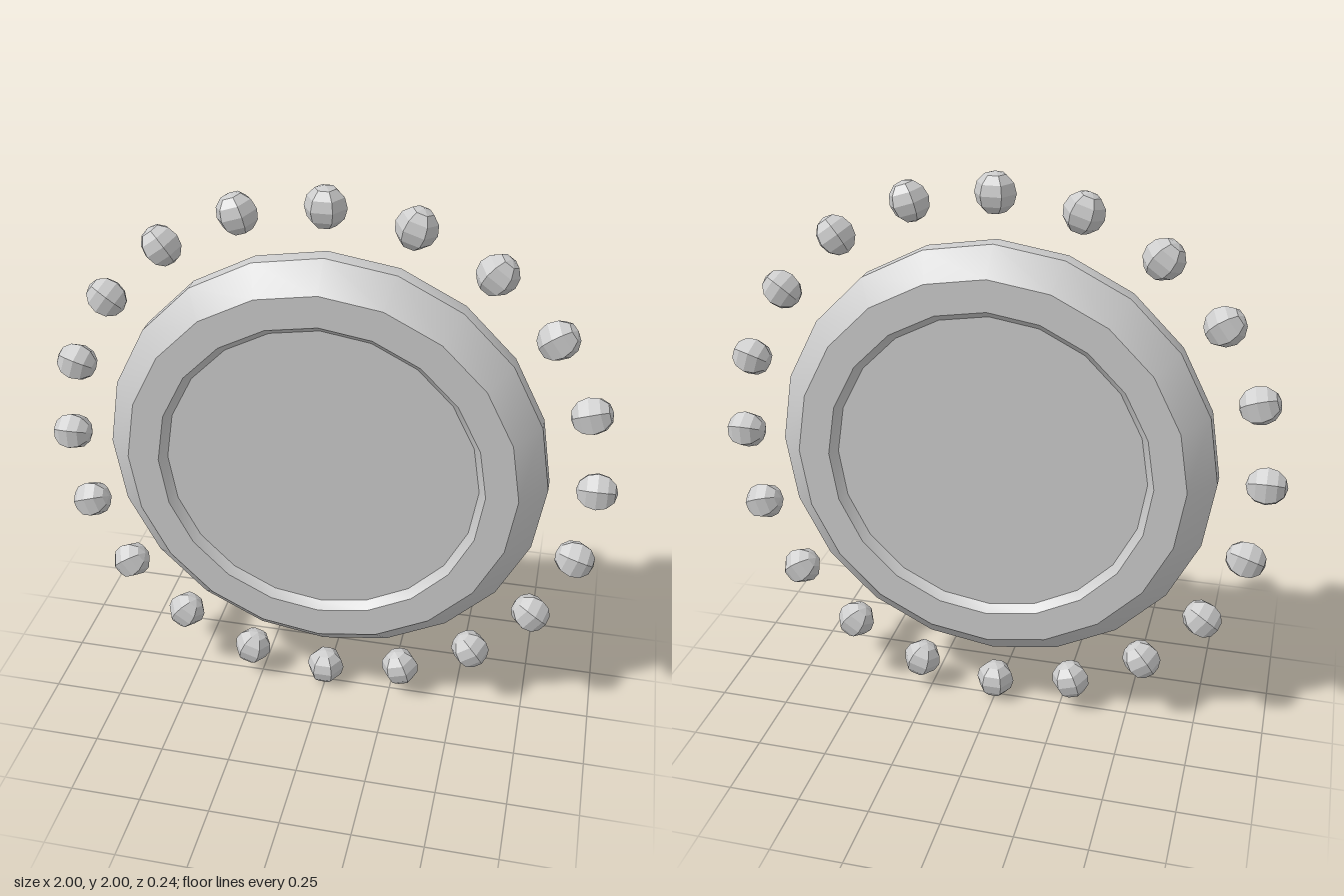
import * as THREE from 'three';
import { toCreasedNormals } from 'three/addons/utils/BufferGeometryUtils.js';

const SIDES = 20;

export function createModel() {
  const model = new THREE.Group();
  model.name = 'beadedDisc';

  // Twenty-sided disc: chamfered rim and a shallow recess on both faces
  const half = [[0.77, 0.03], [0.68, 0.12], [0.57, 0.12], [0.545, 0.09], [0, 0.09]];
  const profile = [
    ...half.map(([r, z]) => new THREE.Vector2(r, -z)).reverse(),
    ...half.map(([r, z]) => new THREE.Vector2(r, z)),
  ];
  const discGeometry = toCreasedNormals(
    new THREE.LatheGeometry(profile, SIDES).rotateX(Math.PI / 2), 0.5);
  const disc = new THREE.Mesh(discGeometry, new THREE.MeshStandardMaterial({ color: 0xcccccc }));
  disc.name = 'disc';
  disc.position.y = 1;
  model.add(disc);

  // Ring of faceted beads, each with its poles pointing along the radius
  const beads = new THREE.Group();
  beads.name = 'beadRing';
  beads.position.y = 1;
  const beadGeometry = new THREE.SphereGeometry(0.07, 6, 6);
  const beadMaterial = new THREE.MeshStandardMaterial({ color: 0xcccccc, flatShading: true });
  for (let i = 0; i < SIDES; i++) {
    const angle = (i / SIDES) * Math.PI * 2;
    const bead = new THREE.Mesh(beadGeometry, beadMaterial);
    bead.name = `bead${i + 1}`;
    bead.position.set(-Math.sin(angle) * 0.93, Math.cos(angle) * 0.93, 0);
    bead.rotation.z = angle;
    beads.add(bead);
  }
  model.add(beads);

  return model;
}
